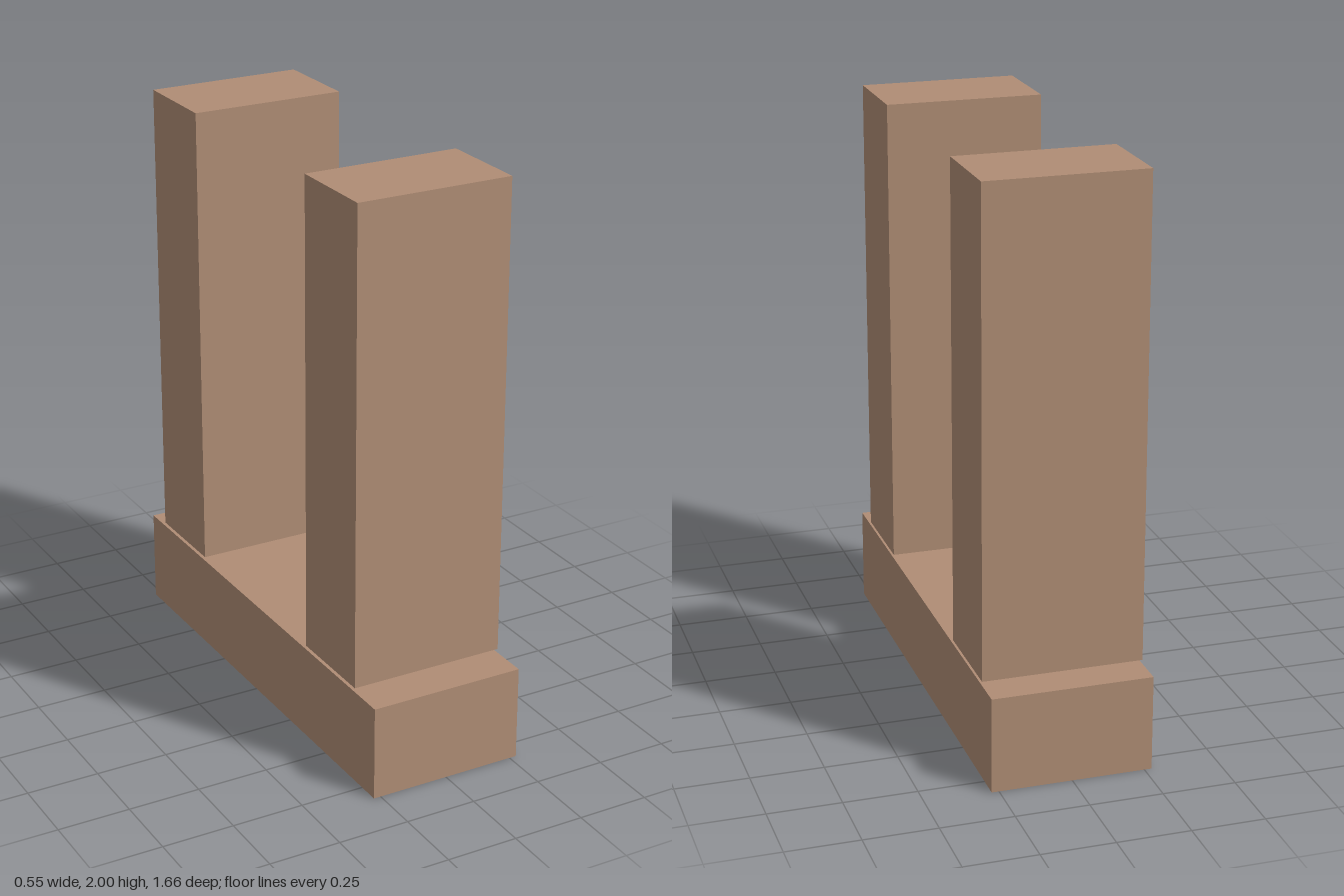
import * as THREE from 'three';

const WIDTH = 0.55;

export function createModel() {
  const model = new THREE.Group();
  const wood = new THREE.MeshStandardMaterial({ color: 0xb08d75 });

  // Full-width block spanning y0..y1 and z0..z1
  function addBlock(name, y0, y1, z0, z1) {
    const block = new THREE.Mesh(new THREE.BoxGeometry(WIDTH, y1 - y0, z1 - z0), wood);
    block.name = name;
    block.position.set(0, (y0 + y1) / 2, (z0 + z1) / 2);
    model.add(block);
  }

  // Base plank lying on the ground
  addBlock('base', 0, 0.332, -0.828, 0.828);

  // Two upright blocks, hovering just above the base
  addBlock('frontPost', 0.346, 2, 0.368, 0.698);
  addBlock('backPost', 0.346, 2, -0.724, -0.394);

  return model;
}
